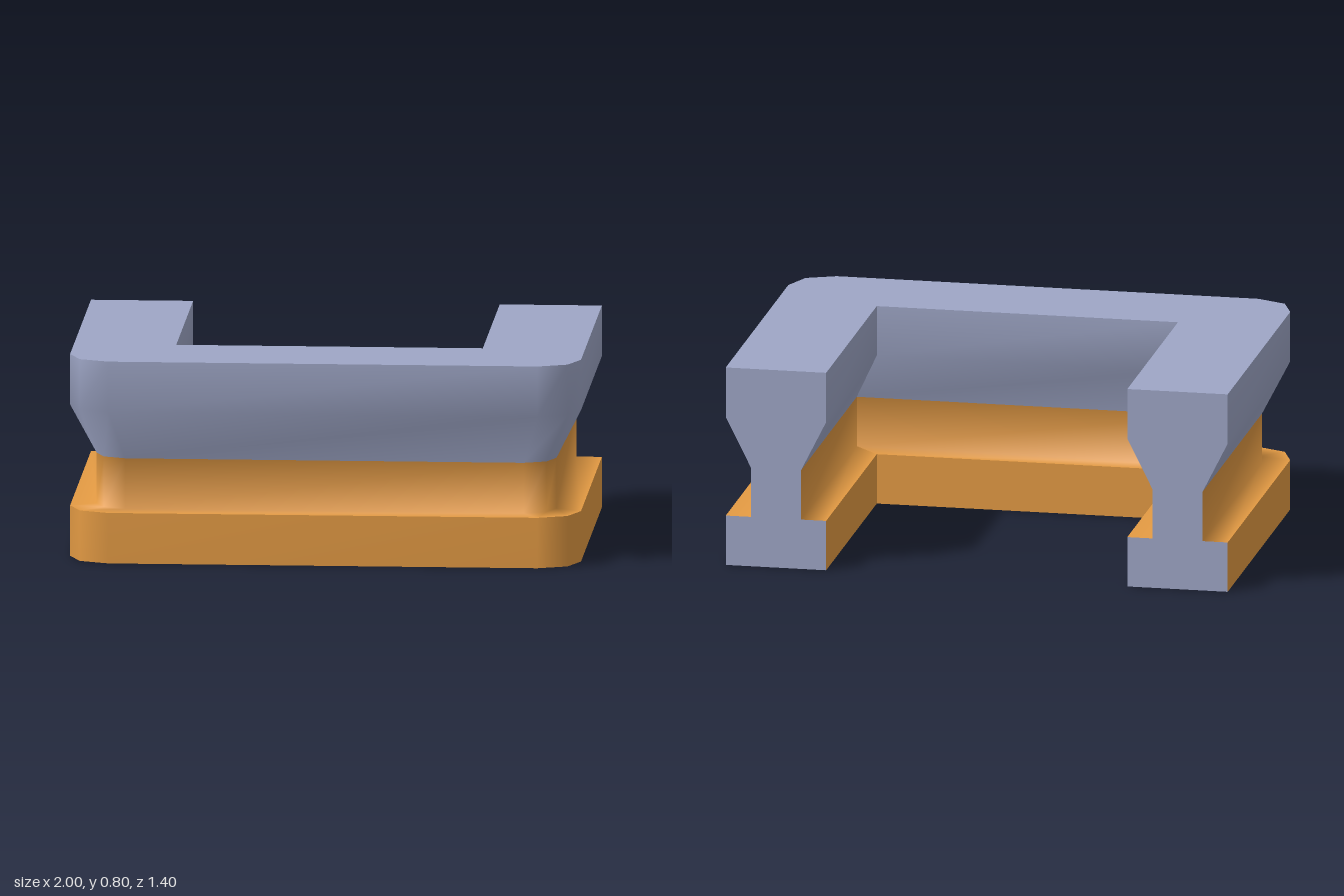
import * as THREE from 'three';

const blue = new THREE.MeshStandardMaterial({ color: 0x9ea6c6 });
blue.name = 'greyBlue';
const orange = new THREE.MeshStandardMaterial({ color: 0xe39a43 });
orange.name = 'orange';

// Plan outlines as [x, z]; the neck is drawn in by 0.1 on both sides
const half = [[-1, -0.7], [-1, 0.535], [-0.955, 0.65], [-0.84, 0.7]];
const mirrored = (pts) => [...pts, ...pts.map(([x, z]) => [-x, z]).reverse()];
const outer = mirrored(half);
const outerNeck = mirrored(half.map(([x, z], i) => i === 0
  ? [-0.9, -0.7]
  : [x + (-0.6 - x) * 0.25, z + (0.3 - z) * 0.25]));
const inner = [[0.6, -0.7], [0.6, 0.3], [-0.6, 0.3], [-0.6, -0.7]];
const innerNeck = [[0.7, -0.7], [0.7, 0.4], [-0.7, 0.4], [-0.7, -0.7]];

// Smooth wall lofted through rings of [path, height], one material per row
function wall(name, rings, materials) {
  const n = rings[0][0].length;
  const positions = rings.flatMap(([path, y]) => path.flatMap(([x, z]) => [x, y, z]));
  const index = [];
  const geometry = new THREE.BufferGeometry();
  for (let j = 0; j < rings.length - 1; j++) {
    geometry.addGroup(index.length, (n - 1) * 6, j);
    for (let i = 0; i < n - 1; i++) {
      const a = j * n + i, b = a + 1, c = b + n, d = a + n;
      index.push(a, b, c, a, c, d);
    }
  }
  geometry.setAttribute('position', new THREE.Float32BufferAttribute(positions, 3));
  geometry.setIndex(index);
  geometry.computeVertexNormals();
  const mesh = new THREE.Mesh(geometry, materials);
  mesh.name = name;
  return mesh;
}

// Flat face cut from a 2D outline
function face(name, points) {
  const shape = new THREE.Shape(points.map(([x, y]) => new THREE.Vector2(x, y)));
  const mesh = new THREE.Mesh(new THREE.ShapeGeometry(shape), blue);
  mesh.name = name;
  return mesh;
}

export function createModel() {
  const group = new THREE.Group();
  group.name = 'counter';

  // Base band, then ledge, neck, flare and top band
  const addSide = (side, full, neck) => {
    group.add(wall(side + 'Base', [[full, 0], [full, 0.2]], [orange]));
    group.add(wall(side + 'Body',
      [[full, 0.2], [neck, 0.2], [neck, 0.4], [full, 0.6], [full, 0.8]],
      [orange, orange, blue, blue]));
  };
  addSide('outer', outer, outerNeck);

  // Inner walls are separate so that their corners stay sharp
  ['innerLeft', 'innerFront', 'innerRight'].forEach((side, i) =>
    addSide(side, inner.slice(i, i + 2), innerNeck.slice(i, i + 2)));

  // Worktop and underside
  const plan = [...outer, ...inner];
  const top = face('worktop', plan.map(([x, z]) => [x, -z]));
  top.rotation.x = -Math.PI / 2;
  top.position.y = 0.8;
  const bottom = face('underside', plan);
  bottom.rotation.x = Math.PI / 2;
  group.add(top, bottom);

  // End faces of the two arms
  const side = [[0.2, 0], [0.2, 0.2], [0.1, 0.2], [0.1, 0.4], [0.2, 0.6], [0.2, 0.8]];
  const profile = [...side, ...side.map(([x, y]) => [-x, y]).reverse()];
  for (const s of [1, -1]) {
    const end = face(s > 0 ? 'leftEnd' : 'rightEnd', profile);
    end.rotation.y = Math.PI;
    end.position.set(0.8 * s, 0, -0.7);
    group.add(end);
  }
  return group;
}
